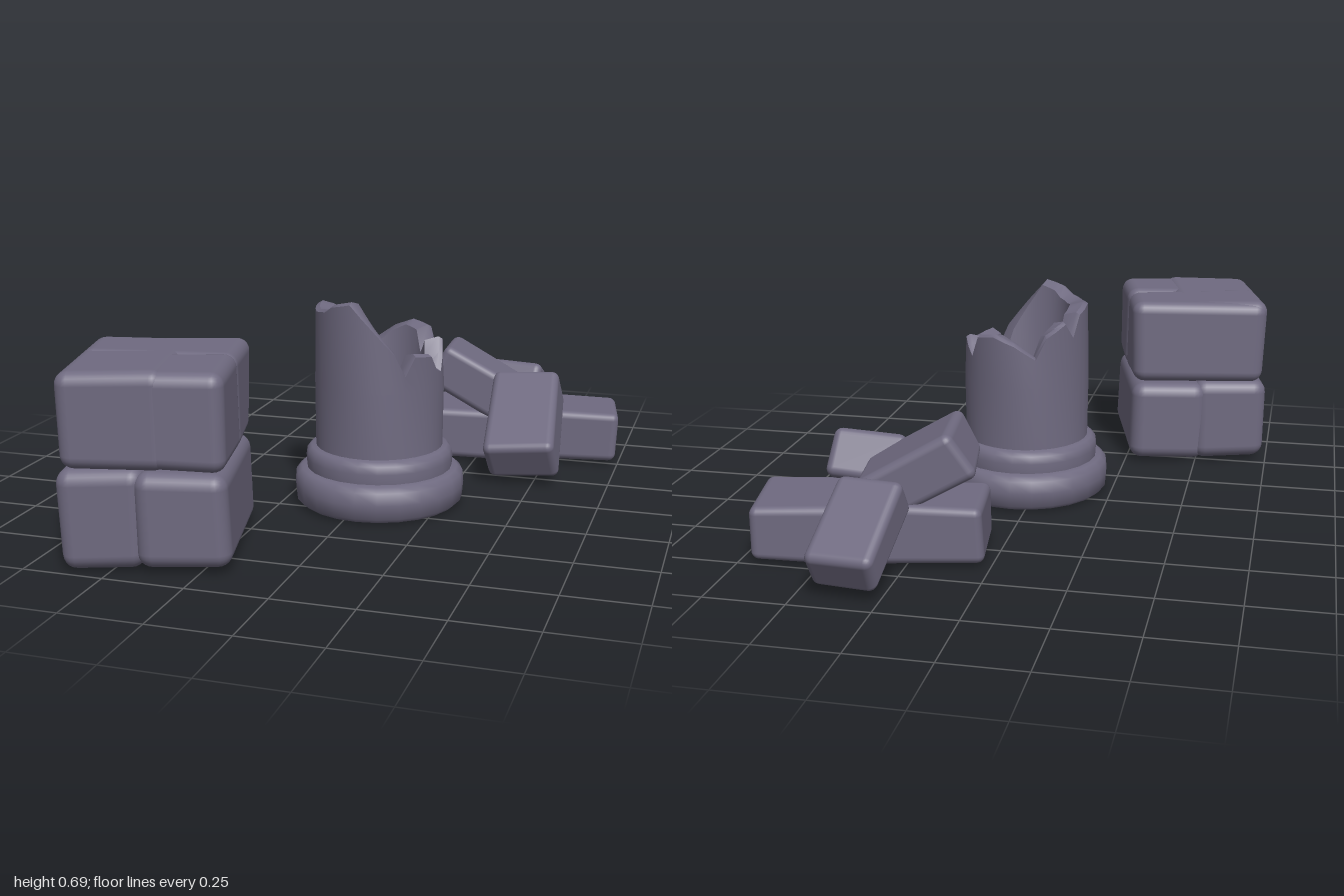
import * as THREE from 'three';
import { toCreasedNormals } from 'three/addons/utils/BufferGeometryUtils.js';
import { RoundedBoxGeometry } from 'three/addons/geometries/RoundedBoxGeometry.js';

const stoneMat = new THREE.MeshStandardMaterial({ color: 0x6f6a80 });
stoneMat.name = 'weathered stone';

function seeded(seed) {
  let s = seed * 7919 + 17;
  return () => (s = (s * 16807) % 2147483647) / 2147483647;
}

// Worn block: a rounded box whose eight corners are nudged unevenly
function stone(name, size, pos, rot = [0, 0, 0], seed = 1, radius = 0.03, wear = 0.012) {
  const [w, h, d] = size;
  const geo = new RoundedBoxGeometry(w, h, d, 3, radius);
  const rnd = seeded(seed);
  rnd(); rnd();
  const corners = Array.from({ length: 8 }, () => [0, 1, 2].map(() => (rnd() - 0.5) * 2 * wear));
  const p = geo.attributes.position;
  for (let i = 0; i < p.count; i++) {
    const v = [p.getX(i), p.getY(i), p.getZ(i)];
    const t = v.map((c, k) => c / size[k] + 0.5);
    const out = [...v];
    corners.forEach((off, c) => {
      const weight = [0, 1, 2].reduce((m, k) => m * ((c >> k) & 1 ? t[k] : 1 - t[k]), 1);
      for (let k = 0; k < 3; k++) out[k] += off[k] * weight;
    });
    p.setXYZ(i, ...out);
  }
  const mesh = new THREE.Mesh(geo, stoneMat);
  mesh.name = name;
  mesh.position.set(...pos);
  mesh.rotation.set(...rot, 'YXZ');
  return mesh;
}

// Broken rim of the shaft: [angle from the front in degrees, height]
const RIM = [
  [-90, 0.65], [-60, 0.64], [-40, 0.65], [-30, 0.67], [-10, 0.685], [10, 0.61], [30, 0.53],
  [40, 0.46], [50, 0.52], [70, 0.51], [80, 0.46], [90, 0.45], [110, 0.54], [130, 0.49],
  [140, 0.56], [160, 0.57], [180, 0.545], [200, 0.5], [210, 0.57], [230, 0.61],
  [240, 0.56], [250, 0.63], [270, 0.65],
];
function rimHeight(deg) {
  const a = deg > 270 ? deg - 360 : deg;
  const i = Math.max(1, RIM.findIndex((r) => r[0] >= a - 0.01));
  const [a0, h0] = RIM[i - 1], [a1, h1] = RIM[i];
  return h0 + ((h1 - h0) * (a - a0)) / (a1 - a0);
}

function lathe(points, segments) {
  return new THREE.LatheGeometry(points.map(([r, y]) => new THREE.Vector2(r, y)), segments);
}

function brokenColumn() {
  const g = new THREE.Group();
  g.name = 'brokenColumn';
  g.position.set(0.045, 0, 0.1);

  // Stepped round base
  const baseGeo = lathe([
    [0, 0], [0.255, 0], [0.272, 0.015], [0.276, 0.06], [0.272, 0.1], [0.255, 0.115],
    [0.237, 0.118], [0.239, 0.15], [0.235, 0.175], [0.222, 0.187], [0.19, 0.192],
  ], 24);
  const base = new THREE.Mesh(toCreasedNormals(baseGeo, 0.9), stoneMat);
  base.name = 'columnBase';

  // Hollow shaft; the two rim rings follow the jagged break
  const shaftGeo = lathe([
    [0.206, 0.17], [0.204, 0.4], [0.204, 1], [0.19, 1.015], [0.145, 1], [0.125, 0.32], [0, 0.3],
  ], 36);
  const p = shaftGeo.attributes.position;
  for (let i = 0; i < p.count; i++) {
    const ring = i % 7, deg = Math.floor(i / 7) * 10;
    if (ring >= 2 && ring <= 4) p.setY(i, rimHeight(deg) + (ring === 2 ? -0.008 : ring === 4 ? -0.012 : 0));
    // shallow chips around the wall
    const chip = ring === 1 || ring === 5 ? 1 + 0.025 * Math.sin((deg * Math.PI) / 45 + ring) : 1;
    p.setX(i, p.getX(i) * chip);
    p.setZ(i, p.getZ(i) * chip);
  }
  const shaft = new THREE.Mesh(toCreasedNormals(shaftGeo, 0.7), stoneMat);
  shaft.name = 'columnShaft';
  g.add(base, shaft);
  return g;
}

function stackedBlocks() {
  const g = new THREE.Group();
  g.name = 'stackedBlocks';
  g.position.set(-0.452, 0, 0.7);
  g.rotation.y = 0.22;
  g.add(
    // Lower course, split left and right
    stone('lowerLeftBlock', [0.26, 0.29, 0.49], [-0.12, 0.152, 0], [0, 0, 0], 3, 0.045),
    stone('lowerRightBlock', [0.27, 0.285, 0.5], [0.108, 0.152, 0.002], [0, 0, 0], 5, 0.045),
    // Upper course, with a long back stone and a chipped front corner
    stone('upperLeftBlock', [0.31, 0.29, 0.49], [-0.085, 0.44, 0.002], [0, 0, 0], 8, 0.04, 0.008),
    stone('upperBackBlock', [0.475, 0.295, 0.25], [0, 0.438, -0.12], [0, 0, 0], 11, 0.04, 0.008),
    stone('upperFrontBlock', [0.24, 0.285, 0.275], [0.118, 0.44, 0.115], [0, 0, 0], 14, 0.04, 0.008),
  );
  return g;
}

function rubblePile() {
  const g = new THREE.Group();
  g.name = 'rubblePile';
  g.add(
    // Two stones flat on the ground
    stone('flatLeftStone', [0.36, 0.18, 0.27], [0.215, 0.093, -0.54], [0, 0.13, 0], 21, 0.025, 0.008),
    stone('flatRightStone', [0.35, 0.18, 0.28], [0.555, 0.093, -0.6], [0, 0.13, 0], 24, 0.025, 0.008),
    // Three stones leaning on them
    stone('topStone', [0.33, 0.155, 0.25], [0.24, 0.262, -0.53], [0, 0.13, -0.52], 27, 0.025, 0.008),
    stone('frontLeaningStone', [0.235, 0.15, 0.385], [0.445, 0.175, -0.31], [0.52, 0.12, 0.12], 30, 0.025, 0.008),
    stone('backLeaningStone', [0.2, 0.135, 0.305], [0.335, 0.158, -0.835], [-0.55, -0.13, 0], 33, 0.025, 0.008),
  );
  return g;
}

export function createModel() {
  const model = new THREE.Group();
  model.name = 'stoneRuins';
  model.add(stackedBlocks(), brokenColumn(), rubblePile());
  return model;
}
